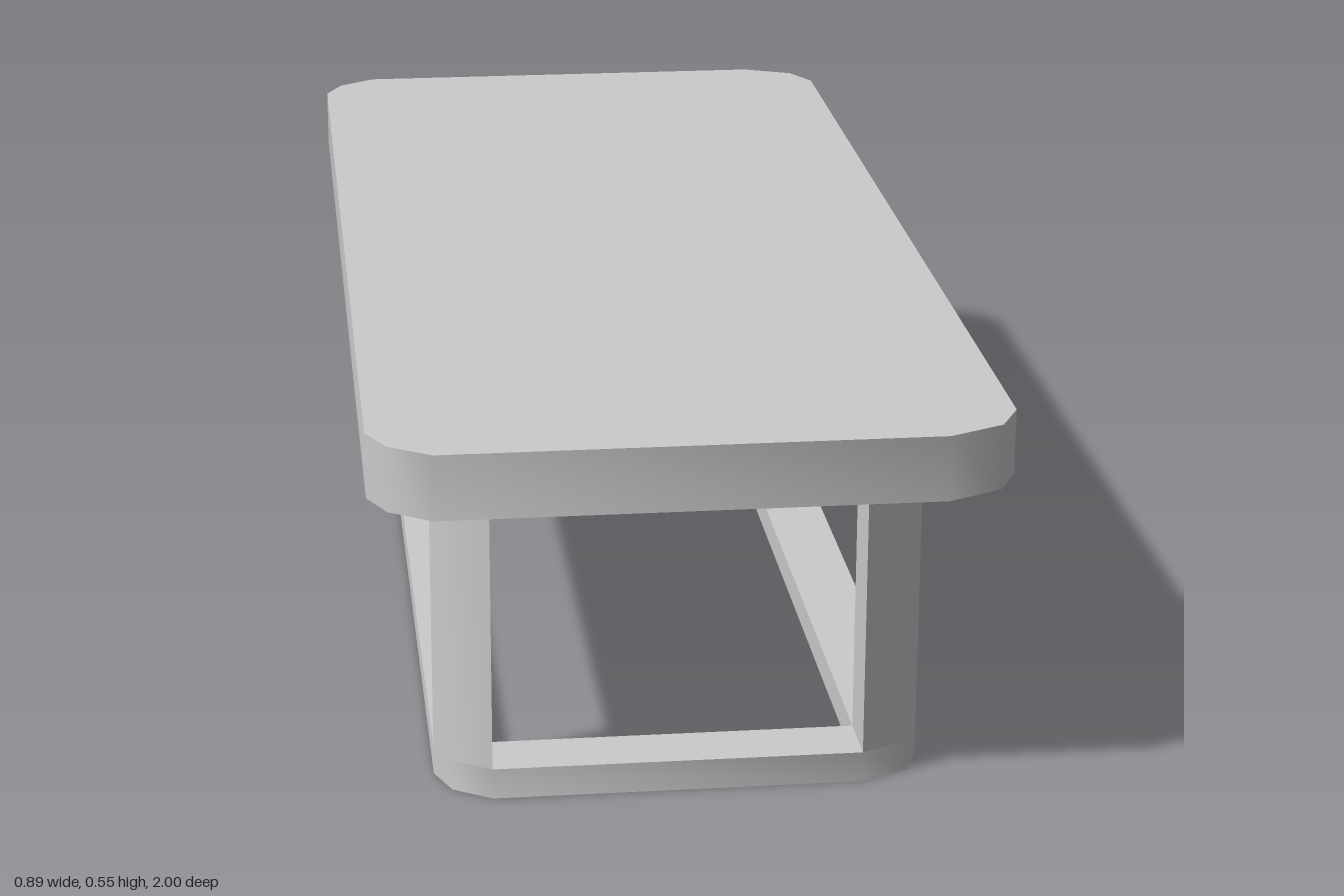
import * as THREE from 'three';
import { toCreasedNormals } from 'three/addons/utils/BufferGeometryUtils.js';

const material = new THREE.MeshStandardMaterial({ color: 0xcccccc });
const CREASE = THREE.MathUtils.degToRad(36);

const toVectors = (points) => points.map(([x, z]) => new THREE.Vector2(x, z));

// Extrudes a plan outline upward from y0 to y1.
function slab(name, outline, y0, y1, hole) {
  const shape = new THREE.Shape(toVectors(outline));
  if (hole) shape.holes.push(new THREE.Path(toVectors(hole)));
  const geometry = new THREE.ExtrudeGeometry(shape, { depth: y1 - y0, bevelEnabled: false });
  geometry.rotateX(-Math.PI / 2).translate(0, y0, 0);
  const mesh = new THREE.Mesh(toCreasedNormals(geometry, CREASE), material);
  mesh.name = name;
  return mesh;
}

// Full outline from the right and left half-corners, mirrored front to back.
function mirrored(half) {
  return [...half, ...half.map(([x, z]) => [x, -z]).reverse()];
}

export function createModel() {
  const group = new THREE.Group();
  group.name = 'coffeeTable';

  const topY = 0.553, undersideY = 0.459, railY = 0.045;

  // Table top with two-facet rounded corners
  const topLeft = [[0.447, 0.905], [0.417, 0.963], [0.337, 1]];
  const topRight = [[-0.36, 1], [-0.42, 0.96], [-0.447, 0.905]];
  group.add(slab('tableTop', mirrored([...topLeft, ...topRight]), undersideY, topY));

  // Base frame: rounded outside, square opening inside
  const frameLeft = [[0.337, 0.815], [0.315, 0.872], [0.245, 0.905]];
  const frameRight = [[-0.28, 0.905], [-0.335, 0.87], [-0.358, 0.815]];
  const opening = mirrored([[0.245, 0.815], [-0.28, 0.815]]);
  group.add(slab('baseFrame', mirrored([...frameLeft, ...frameRight]), 0, railY, opening));

  // Legs follow the frame corners and end in a square inner corner
  const corners = { Left: [...frameLeft, [0.245, 0.815]], Right: [...frameRight, [-0.28, 0.815]] };
  for (const [side, outline] of Object.entries(corners)) {
    for (const [end, sign] of [['front', -1], ['back', 1]]) {
      const plan = outline.map(([x, z]) => [x, sign * z]);
      group.add(slab(`${end}${side}Leg`, plan, railY, undersideY));
    }
  }
  return group;
}
